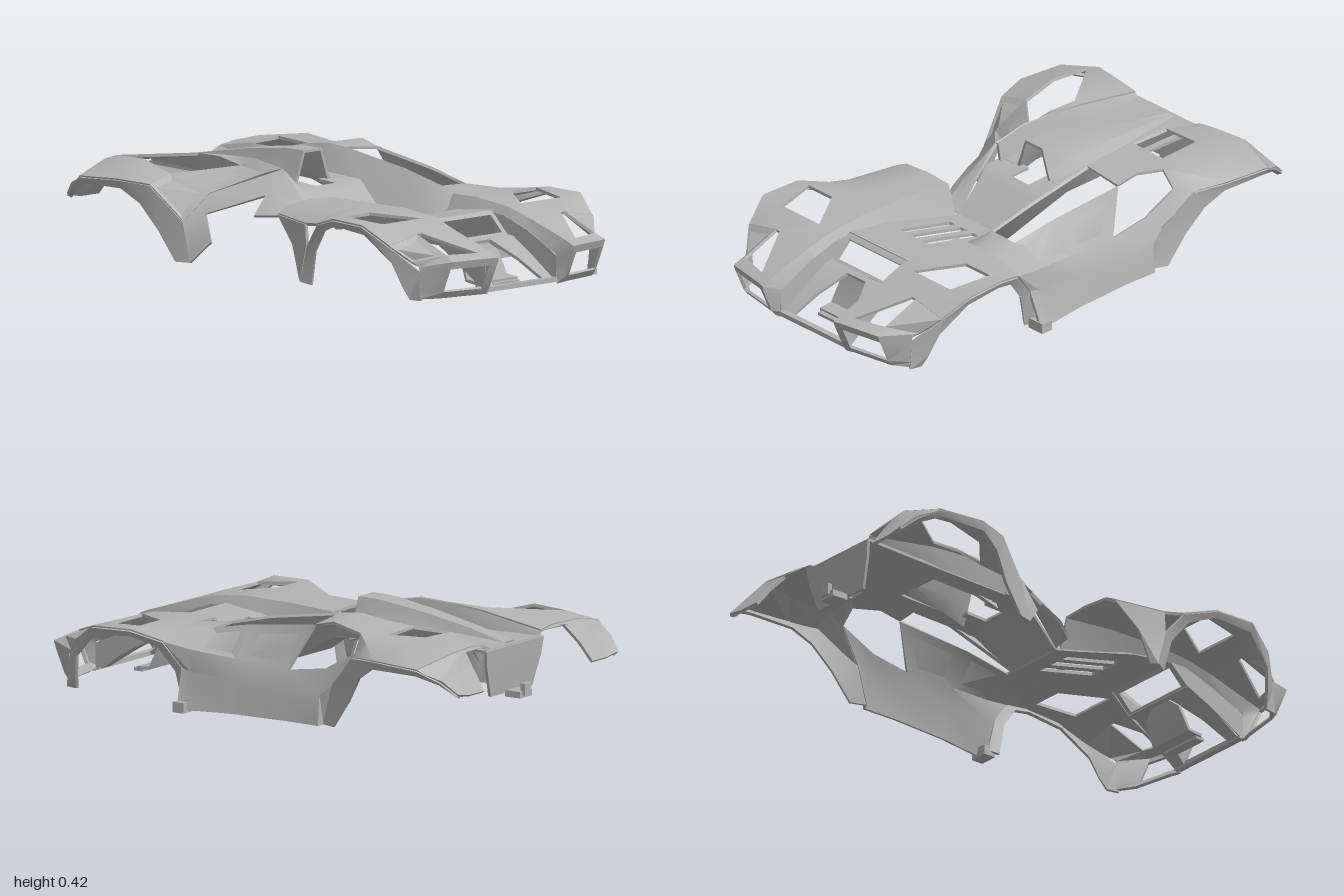
import * as THREE from 'three';
import { toCreasedNormals } from 'three/addons/utils/BufferGeometryUtils.js';

const THICK = 0.012;

// Thin shell lofted through rows of points; cells named 'row,column' are left open.
function shellGeometry(rows, open, side) {
  const n = rows[0].length;
  const pts = rows.flat().map(([x, y, z]) => new THREE.Vector3(x * side, y, z));
  const normals = pts.map(() => new THREE.Vector3());
  const quads = [];
  for (let r = 0; r < rows.length - 1; r++) for (let c = 0; c < n - 1; c++) {
    if (open.includes(`${r},${c}`)) continue;
    const q = [r * n + c, r * n + c + 1, (r + 1) * n + c + 1, (r + 1) * n + c];
    const [a, b, d, e] = q.map((i) => pts[i]);
    const face = d.clone().sub(a).cross(e.clone().sub(b)).normalize();
    q.forEach((i) => normals[i].add(face));
    quads.push(q);
  }
  normals.forEach((v) => v.normalize());
  const layer = (k) => pts.map((p, i) => p.clone().addScaledVector(normals[i], k * THICK / 2));
  const up = layer(1), down = layer(-1), pos = [];
  const quad = (a, b, c, d) => [a, b, c, a, c, d].forEach((p) => pos.push(p.x, p.y, p.z));
  const edges = new Set();
  quads.forEach((q) => q.forEach((a, i) => edges.add(`${a},${q[(i + 1) % 4]}`)));
  quads.forEach((q) => {
    const [a, b, c, d] = q;
    quad(up[a], up[b], up[c], up[d]);
    quad(down[d], down[c], down[b], down[a]);
    // Rims along free edges
    q.forEach((s, i) => {
      const t = q[(i + 1) % 4];
      if (!edges.has(`${t},${s}`)) quad(up[t], up[s], down[s], down[t]);
    });
  });
  const geo = new THREE.BufferGeometry();
  geo.setAttribute('position', new THREE.Float32BufferAttribute(pos, 3));
  return toCreasedNormals(geo, 0.5);
}

// Row of points sharing depth, and row sharing depth and height
const at = (z, ...xy) => xy.map(([x, y]) => [x, y, z]);
const across = (xs, y, z) => xs.map((x) => [x, y, z]);
const four = (outer, inner, y, z) => across([-outer, -inner, inner, outer], y, z);

export function createModel() {
  const group = new THREE.Group();
  group.name = 'carBodyShell';
  const grey = new THREE.MeshStandardMaterial({ color: 0xb2b2b2, side: THREE.DoubleSide });
  grey.name = 'body grey';

  const add = (name, geo) => {
    const mesh = new THREE.Mesh(geo, grey);
    mesh.name = name;
    group.add(mesh);
    return mesh;
  };
  const shell = (name, rows, open = [], side = 1) => add(name, shellGeometry(rows, open, side));
  const pair = (name, rows, open) => {
    shell('left' + name, rows, open);
    shell('right' + name, rows, open, -1);
  };
  const box = (name, w, h, d, x, y, z) => add(name, new THREE.BoxGeometry(w, h, d)).position.set(x, y, z);

  // Front fenders: valley, crown, opening edges, shoulder; rear to front
  const frontCrown = [
    at(.36, [.16, .225], [.19, .285], [.3, .287], [.43, .28], [.52, .25]),
    at(.485, [.165, .243], [.19, .287], [.37, .288], [.5, .288], [.56, .285]),
    at(.65, [.175, .24], [.19, .27], [.26, .273], [.465, .273], [.57, .28]),
    at(.755, [.18, .2], [.2, .238], [.365, .24], [.385, .24], [.53, .21]),
  ];
  pair('FrontFender', frontCrown, ['1,2']);

  // Nose tips with lamp slot above and intake below
  const noseRow = (y, z) => [
    [.183, y * .8, .92], [.2, y, z], [.225, y, z - .01], [.395, y, z - .04], [.455, y * .85, .84],
  ];
  pair('Nose', [
    frontCrown[3],
    [[.185, .14, .88], [.2, .175, .955], [.255, .175, .945], [.385, .178, .91], [.47, .15, .82]],
    noseRow(.16, .995), noseRow(.135, .985), noseRow(.045, .945), noseRow(.02, .925),
  ], ['0,2', '3,2']);
  pair('NoseWall', [
    at(.58, [.172, .25], [.172, .24]),
    at(.655, [.175, .24], [.172, .17]),
    at(.77, [.18, .2], [.178, .11]),
    at(.885, [.185, .14], [.183, .04]),
    at(.92, [.185, .12], [.185, .02]),
  ]);

  // Front wheel arch lips
  pair('FrontArch', [
    [[.5, .02, .25], [.48, .01, .29]],
    [[.5, .16, .285], [.49, .14, .32]],
    [[.52, .25, .36], [.51, .23, .39]],
    [[.56, .285, .485], [.55, .265, .49]],
    [[.57, .28, .65], [.555, .25, .65]],
    [[.53, .21, .755], [.52, .15, .76]],
    [[.455, .12, .84], [.49, .06, .785]],
    [[.455, .01, .85], [.465, .01, .8]],
  ]);

  // Closed rear end of the right front fender
  const fenderRear = [
    at(.08, [.13, .165], [.17, .28], [.28, .285], [.4, .275], [.45, .25]),
    at(.28, [.15, .205], [.19, .285], [.3, .285], [.42, .275], [.5, .24]),
  ];
  shell('rightFenderRear', [...fenderRear, frontCrown[0]], [], -1);
  shell('rightFenderSkirt', [
    [fenderRear[0][4], [.47, .15, .18], [.48, .02, .23]],
    [fenderRear[1][4], [.5, .16, .285], [.5, .02, .25]],
  ], [], -1);

  // Hood falling towards the cowl, with three vents, and the grille opening ahead of it
  const hoodRow = (edge, y, z) => across([-edge, -.08, -.05, -.02, .015, .045, .08, edge], y, z);
  shell('hood', [hoodRow(.13, .16, .06), hoodRow(.14, .178, .155), hoodRow(.163, .234, .41), hoodRow(.17, .25, .58)],
    ['1,1', '1,3', '1,5']);
  shell('grilleFrame', [four(.17, .147, .25, .58), four(.17, .147, .237, .6), four(.172, .147, .178, .66), four(.172, .147, .17, .67)],
    ['1,1']);

  // Nose ramp with recessed centre plate
  shell('noseRamp', [four(.172, .05, .17, .66), four(.175, .05, .165, .7), four(.18, .1, .1, .8), four(.185, .13, .03, .9)],
    ['1,1', '2,1']);
  shell('nosePlate', [
    across([-.05, .05], .16, .68), across([-.095, .095], .125, .69),
    across([-.105, .105], .035, .73), across([-.105, .105], .028, .79),
  ]);
  box('frontBar', .38, .018, .025, 0, .03, .915);
  box('noseTray', .19, .012, .04, 0, .02, .79);

  // Cowl and central air scoop
  shell('cowl', [four(.13, .09, .16, .06), four(.16, .08, .27, -.09), four(.18, .05, .285, -.13), four(.18, .05, .29, -.22)],
    ['2,1']);
  const scoopRow = (foot, low, top, y0, y1, y2, z) =>
    at(z, [-foot, y0], [-low, y1], [-top, y2], [top, y2], [low, y1], [foot, y0]);
  shell('airScoop', [
    scoopRow(.1, .075, .044, .255, .32, .411, -.2),
    scoopRow(.1, .068, .042, .285, .34, .41, -.3),
    scoopRow(.09, .05, .032, .3, .335, .385, -.5),
    scoopRow(.065, .035, .024, .305, .325, .35, -.7),
    scoopRow(.04, .025, .018, .31, .313, .318, -.87),
  ]);

  // Rear deck, tail plate and hook
  shell('rearDeck', [
    across([-.17, -.1, .1, .18], .29, -.2),
    across([-.17, -.1, .1, .17], .3, -.5),
    across([-.18, -.1, .1, .18], .31, -.89),
  ], ['0,1']);
  shell('tailPlate', [across([-.18, .18], .312, -.89), across([-.17, .17], .25, -.885), across([-.13, .13], .13, -.872)]);
  box('hookArm', .075, .025, .07, 0, .128, -.91);
  box('hookTip', .04, .045, .02, 0, .148, -.945);

  // Rear wheel arches and tails
  pair('RearArch', [
    [[.48, .02, -.36], [.5, .02, -.42]],
    [[.48, .17, -.4], [.51, .13, -.5]],
    [[.53, .3, -.53], [.54, .23, -.57]],
    [[.57, .31, -.66], [.56, .28, -.65]],
    [[.57, .3, -.86], [.56, .28, -.85]],
    [[.53, .26, -.94], [.52, .25, -.93]],
    [[.5, .21, -1], [.48, .2, -.995]],
  ]);
  const tailStart = [[.18, .33, -.88], [.25, .34, -.88], [.4, .34, -.9], [.57, .3, -.86]];
  pair('Tail', [
    tailStart,
    [[.31, .33, -.89], [.33, .33, -.895], [.4, .325, -.915], [.56, .285, -.88]],
    at(-.945, [.33, .27], [.37, .27], [.43, .27], [.53, .26]),
    at(-1, [.34, .2], [.38, .2], [.43, .2], [.5, .21]),
  ]);

  // Right rear fender with its large slanted opening
  const rearFender = [
    [[.18, .36, -.18], [.21, .34, -.24], [.38, .27, -.36], [.48, .17, -.4]],
    [[.185, .385, -.32], [.21, .355, -.37], [.41, .325, -.54], [.53, .3, -.53]],
    [[.185, .38, -.45], [.21, .375, -.48], [.41, .365, -.68], [.57, .31, -.66]],
    [[.185, .37, -.6], [.21, .375, -.6], [.4, .36, -.84], [.57, .3, -.84]],
    tailStart,
  ];
  shell('rightRearFender', rearFender, ['1,1', '2,1'], -1);
  shell('rightInnerWall', rearFender.map(([top], i) => [top, [.165, .29 + i * .005, top[2]]]), [], -1);

  // Right side strut from the cowl out to the foot of the rear arch
  shell('rightStrut', [
    at(.065, [.13, .165], [.165, .175], [.2, .18]),
    [[.16, .27, -.06], [.2, .25, -.04], [.24, .21, -.01]],
    at(-.175, [.18, .36], [.27, .27], [.33, .2]),
    [[.38, .27, -.36], [.42, .2, -.34], [.44, .1, -.29]],
    [[.48, .17, -.4], [.48, .09, -.38], [.48, .02, -.36]],
  ], ['2,1'], -1);

  // Left cockpit side: sill, waist, belt, roof edge, inner roof, tunnel; front to rear
  const haunchStart = [[.48, .17, -.4], [.455, .3, -.49], [.41, .365, -.48], [.22, .38, -.46], [.17, .3, -.47]];
  shell('leftCockpitSide', [
    [[.55, .01, .27], [.5, .16, .285], ...[...frontCrown[0]].reverse().filter((p, i) => i !== 3)],
    at(.24, [.545, .01], [.505, .15], [.5, .23], [.37, .29], [.25, .295], [.148, .197]),
    at(.05, [.52, .015], [.5, .14], [.475, .215], [.38, .33], [.25, .34], [.13, .165]),
    [[.5, .015, -.2], [.485, .12, -.19], [.455, .2, -.18], [.4, .37, -.26], [.235, .388, -.26], [.18, .29, -.2]],
    at(-.35, [.5, .015], [.49, .13], [.45, .225], [.405, .392], [.225, .395], [.18, .295]),
    [[.48, .02, -.36], ...haunchStart],
  ], ['1,3', '2,3', '3,2', '4,2']);

  // Left haunch behind the cockpit, with an opening in the deck
  shell('leftHaunch', [
    haunchStart,
    at(-.55, [.53, .3], [.47, .345], [.33, .355], [.17, .36], [.14, .305]),
    [[.57, .31, -.66], ...at(-.72, [.48, .36], [.33, .365], [.17, .36], [.14, .31])],
    [...[...tailStart].reverse(), [.14, .31, -.885]],
  ], ['1,2']);
  box('leftSillFoot', .075, .04, .05, .53, .02, .255);

  return group;
}
